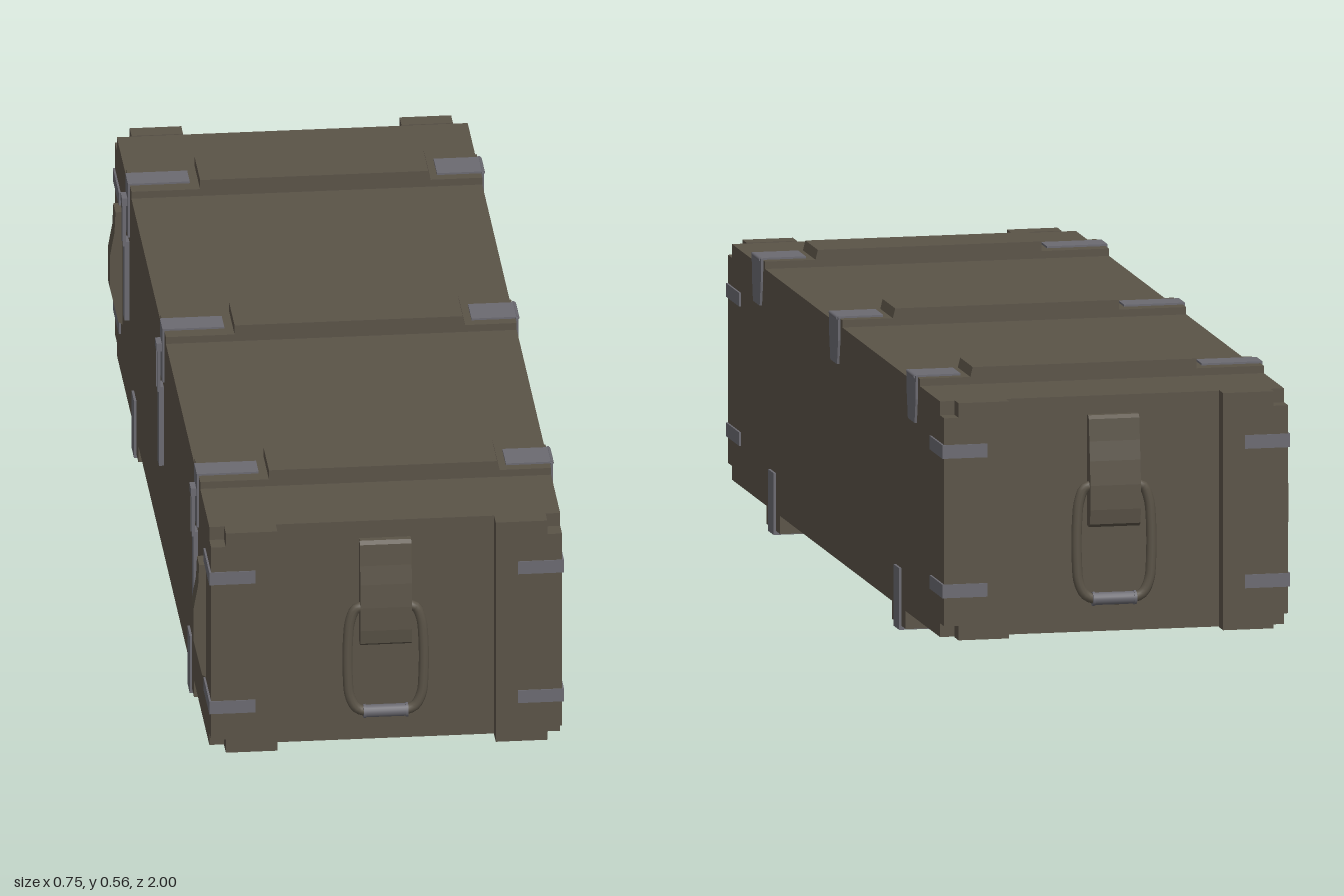
import * as THREE from 'three';

const olive = new THREE.MeshStandardMaterial({ color: 0x5a5347 });
olive.name = 'olive paint';
const steel = new THREE.MeshStandardMaterial({ color: 0x6b6a71 });
steel.name = 'grey steel';

const L = -0.35, R = 0.365, MID = (L + R) / 2; // side walls and middle of the crate
const FLOOR = 0.045, TOP = 0.53, END = 0.962;

export function createModel() {
  const model = new THREE.Group();
  model.name = 'crate';

  const add = (name, geometry, material, parent = model) => {
    const mesh = new THREE.Mesh(geometry, material);
    mesh.name = name;
    parent.add(mesh);
    return mesh;
  };
  // box given by its limits on each axis
  const box = (name, x0, x1, y0, y1, z0, z1, material, parent) => {
    const mesh = add(name, new THREE.BoxGeometry(x1 - x0, y1 - y0, z1 - z0), material, parent);
    mesh.position.set((x0 + x1) / 2, (y0 + y1) / 2, (z0 + z1) / 2);
    return mesh;
  };
  // outline extruded evenly to both sides of its plane
  const slab = (points, depth) => {
    const shape = new THREE.Shape(points.map(([a, b]) => new THREE.Vector2(a, b)));
    return new THREE.ExtrudeGeometry(shape, { depth, bevelEnabled: false }).translate(0, 0, -depth / 2);
  };

  box('body', L, R, FLOOR, TOP, -END, END, olive);

  // lid battens with a raised middle, hinges on the right and latches on the left
  for (const z of [-0.717, 0, 0.715]) {
    const batten = new THREE.Group();
    batten.name = 'lidBatten';
    batten.position.z = z;
    model.add(batten);
    add('battenPlank', slab([[L, TOP], [R, TOP], [R, 0.545], [0.26, 0.545], [0.255, 0.565],
      [-0.21, 0.565], [-0.21, 0.545], [L, 0.545]], 0.116), olive, batten);

    box('hingeTop', 0.275, 0.37, 0.545, 0.549, -0.036, 0.036, steel, batten);
    const flap = add('hingeFlap', slab([[-0.043, 0.548], [-0.041, 0.5], [-0.031, 0.45],
      [0.031, 0.45], [0.041, 0.5], [0.043, 0.548]], 0.005), steel, batten);
    flap.rotation.y = Math.PI / 2;
    flap.position.x = 0.3675;
    const pin = add('hingePin', new THREE.CylinderGeometry(0.004, 0.004, 0.07, 8), steel, batten);
    pin.rotation.x = Math.PI / 2;
    pin.position.set(0.369, 0.546, 0);

    box('latchTop', -0.353, -0.228, 0.545, 0.549, -0.027, 0.027, steel, batten);
    box('latchPlate', -0.354, L, 0.43, 0.549, -0.027, 0.027, steel, batten);
    for (const s of [-1, 1]) {
      box('latchArm', -0.363, -0.357, 0.405, 0.51, s * 0.013 - 0.003, s * 0.013 + 0.003, steel, batten);
    }
    box('latchHook', -0.365, L, 0.495, 0.512, -0.016, 0.016, steel, batten);
    box('latchLever', -0.36, L, 0.24, 0.415, -0.016, 0.016, steel, batten);
  }

  // foot planks with wrapped brackets
  for (const z of [-0.58, 0.58]) {
    box('footPlank', L, R, 0.008, FLOOR, z - 0.064, z + 0.064, olive);
    for (const [x0, x1, s0, s1] of [[-0.355, -0.23, -0.355, L], [0.245, 0.37, R, 0.37]]) {
      box('footBracketUnder', x0, x1, 0, 0.008, z - 0.026, z + 0.026, steel);
      box('footBracketSide', s0, s1, 0, 0.127, z - 0.026, z + 0.026, steel);
    }
  }

  // bowed side grips
  for (const z of [-0.87, 0.87]) {
    const grip = add('sideGrip', slab([[L, 0.165], [-0.358, 0.17], [-0.375, 0.245], [-0.375, 0.32],
      [-0.366, 0.37], [-0.364, 0.415], [L, 0.415]], 0.045), olive);
    grip.position.z = z;
  }

  // corner posts, corner straps and carrying handle of both ends
  for (const end of [1, -1]) {
    const group = new THREE.Group();
    group.name = end > 0 ? 'frontEnd' : 'backEnd';
    // turning about the middle line keeps the walls in place
    group.position.x = MID;
    group.rotation.y = end > 0 ? 0 : Math.PI;
    model.add(group);
    const half = (R - L) / 2;

    for (const s of [-1, 1]) {
      const side = new THREE.Group();
      side.name = 'corner';
      side.rotation.z = s > 0 ? 0 : Math.PI;
      side.position.y = (FLOOR + TOP) / 2;
      group.add(side);
      const h = 0.244, n = 0.03;
      // post with both outer corners notched
      const post = add('cornerPost', slab([[half - 0.135, -h], [half - n, -h], [half - n, -h + n],
        [half, -h + n], [half, h - n], [half - n, h - n], [half - n, h], [half - 0.135, h]],
      1 - END), olive, side);
      post.position.z = (1 + END) / 2;
      for (const y of [-0.145, 0.142]) {
        box('cornerStrapEnd', half - 0.09, half + 0.004, y - 0.014, y + 0.014, 0.998, 1.002, steel, side);
        box('cornerStrapSide', half - 0.001, half + 0.004, y - 0.014, y + 0.014, 0.88, 1.002, steel, side);
      }
    }

    // leather-like loop holder
    const holder = add('handleHolder', slab([[END, 0.265], [0.982, 0.263], [0.992, 0.27], [0.996, 0.3],
      [0.996, 0.35], [0.992, 0.4], [0.986, 0.44], [0.982, 0.485], [0.975, 0.492], [END, 0.492]], 0.105), olive, group);
    // outline lies in z and y, so turn it to run across x
    holder.geometry.rotateY(-Math.PI / 2);

    const path = new THREE.CatmullRomCurve3([[0.035, 0.348], [0.06, 0.344], [0.072, 0.318], [0.077, 0.27],
      [0.077, 0.19], [0.073, 0.15], [0.06, 0.124], [0.04, 0.115], [-0.04, 0.115], [-0.06, 0.124],
      [-0.073, 0.15], [-0.077, 0.19], [-0.077, 0.27], [-0.072, 0.318], [-0.06, 0.344], [-0.035, 0.348]]
      .map(([x, y]) => new THREE.Vector3(x, y, 0.98)), true);
    add('handleLoop', new THREE.TubeGeometry(path, 80, 0.0105, 10, true), olive, group);

    const roll = add('handleGrip', new THREE.CylinderGeometry(0.013, 0.013, 0.09, 16), steel, group);
    roll.rotation.z = Math.PI / 2;
    roll.position.set(0, 0.115, 0.98);
    for (const x of [-0.043, 0.043]) {
      const collar = add('gripCollar', new THREE.CylinderGeometry(0.0145, 0.0145, 0.005, 16), steel, group);
      collar.rotation.z = Math.PI / 2;
      collar.position.set(x, 0.115, 0.98);
    }
  }
  return model;
}
